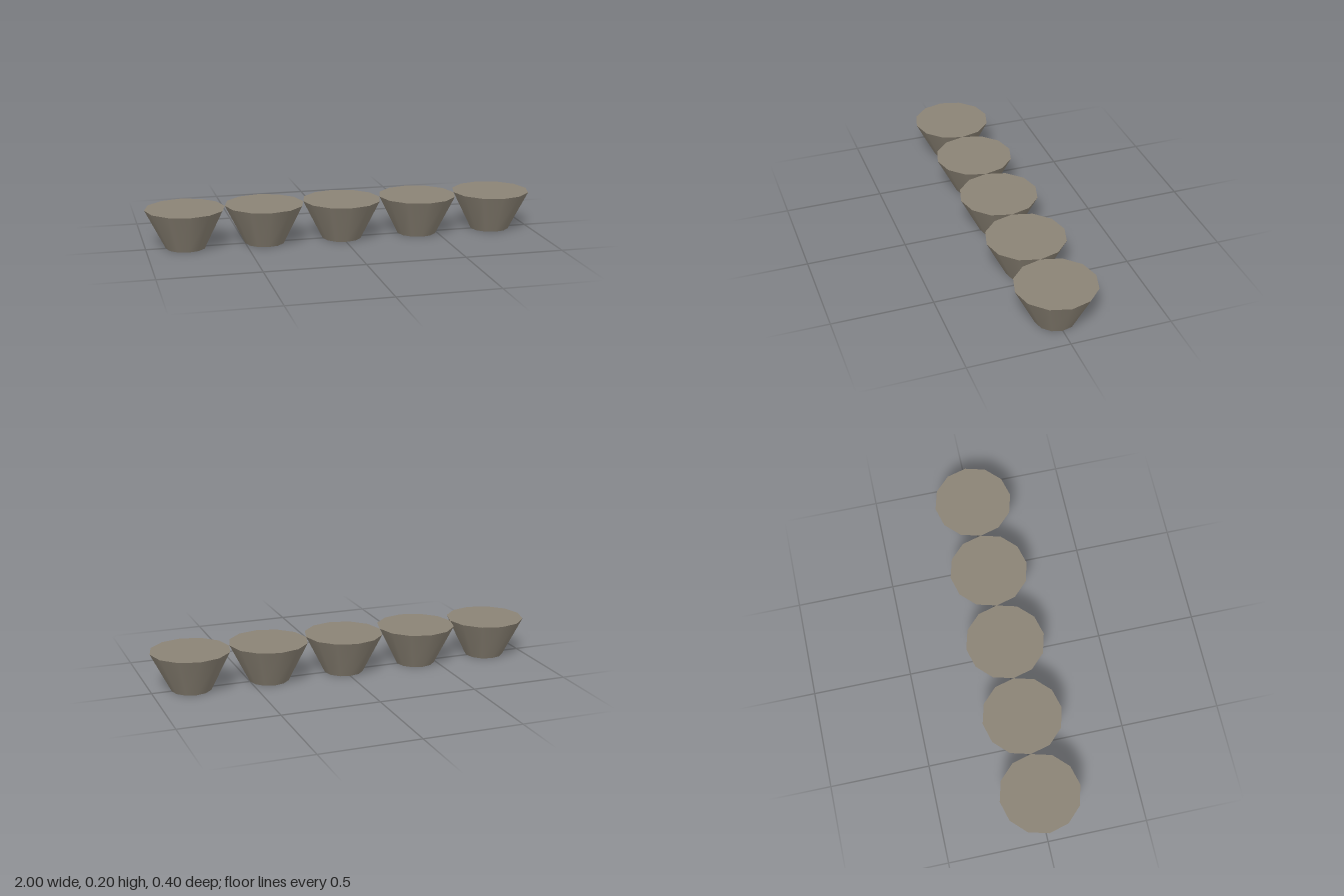
import * as THREE from 'three';

export function createModel() {
  const model = new THREE.Group();
  model.name = 'potRow';

  const clay = new THREE.MeshStandardMaterial({ color: 0x8b8375 });
  clay.name = 'warm grey clay';
  const base = new THREE.MeshStandardMaterial({ color: 0x888888 });
  base.name = 'neutral grey base';

  // Twelve-sided tapered pot: smooth wall, flat top and base
  const potGeometry = new THREE.CylinderGeometry(0.2, 0.1, 0.2, 12);
  potGeometry.translate(0, 0.1, 0);

  // Five pots standing rim to rim
  for (let i = 0; i < 5; i++) {
    const pot = new THREE.Mesh(potGeometry, [clay, clay, base]); // wall, top, base
    pot.name = `pot${i + 1}`;
    pot.position.x = (i - 2) * 0.4;
    model.add(pot);
  }
  return model;
}
